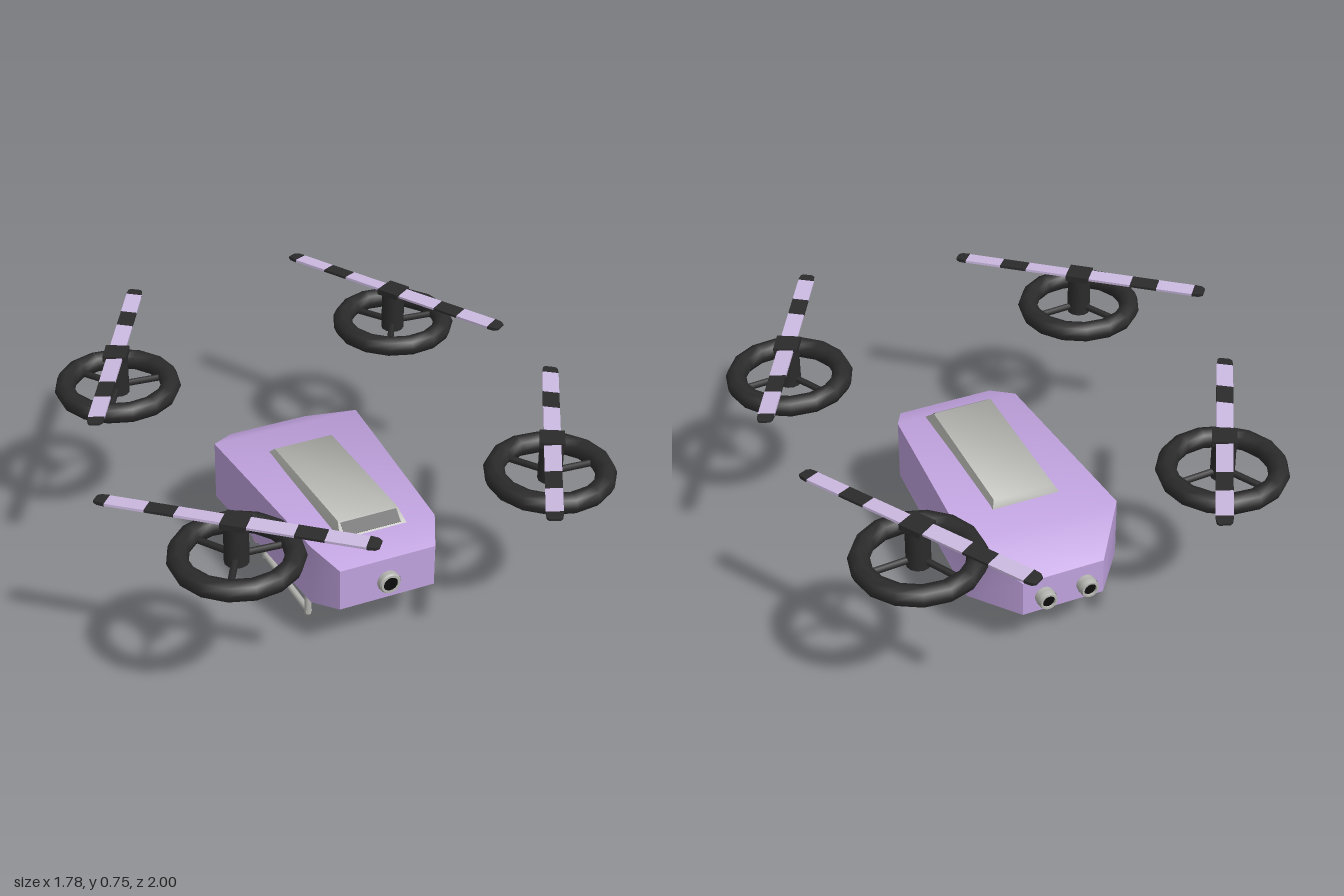
import * as THREE from 'three';
import { toCreasedNormals } from 'three/addons/utils/BufferGeometryUtils.js';

const paint = (color, extra = {}) => new THREE.MeshStandardMaterial({ color, ...extra });
const lilac = paint(0xc0a2de);
const paleLilac = paint(0xcbb9e0);
const pink = paint(0xd2a4d8);
const grey = paint(0xb4b4b0);
const metal = paint(0xb4b4b0, { side: THREE.DoubleSide });
const black = paint(0x2b2b2b);
const glass = paint(0x0c0c0c);
const CX = 0.065; // centre line of the body

function add(parent, name, geometry, material, x = 0, y = 0, z = 0) {
  const mesh = new THREE.Mesh(geometry, material);
  mesh.name = name;
  mesh.position.set(x, y, z);
  parent.add(mesh);
  return mesh;
}

// Closed hull through four-sided sections [z, half width below, half width above, bottom, top], front to back
function hull(sections) {
  const rings = sections.map(([z, wb, wt, y0, y1]) => [[-wb, y0, z], [wb, y0, z], [wt, y1, z], [-wt, y1, z]]);
  const pos = [];
  const quad = (a, b, c, d) => pos.push(...a, ...b, ...c, ...a, ...c, ...d);
  for (let k = 0; k < rings.length - 1; k++) {
    const a = rings[k], b = rings[k + 1];
    for (let i = 0; i < 4; i++) {
      const j = (i + 1) % 4;
      quad(a[i], b[i], b[j], a[j]);
    }
  }
  quad(...rings[0]);
  quad(...[...rings[rings.length - 1]].reverse());
  const g = new THREE.BufferGeometry();
  g.setAttribute('position', new THREE.Float32BufferAttribute(pos, 3));
  return toCreasedNormals(g, 0.85);
}

// Round rod between two points
function rod(parent, name, from, to, radius, material, sides = 10) {
  const a = new THREE.Vector3(...from), b = new THREE.Vector3(...to);
  const dir = b.clone().sub(a);
  const mesh = add(parent, name, new THREE.CylinderGeometry(radius, radius, dir.length(), sides), material);
  mesh.position.copy(a).lerp(b, 0.5);
  mesh.quaternion.setFromUnitVectors(new THREE.Vector3(0, 1, 0), dir.normalize());
}

// Hollow metal barrel with a dark recessed lens, opening towards dir * z
function lens(parent, name, r, depth, x, y, z, dir) {
  const g = new THREE.Group();
  g.name = name;
  const profile = [[r * 0.95, -0.02], [r * 0.95, depth * 0.75], [r * 0.85, depth], [r * 0.65, depth], [r * 0.62, depth * 0.5]]
    .map(([px, py]) => new THREE.Vector2(px, py));
  add(g, name + 'Barrel', toCreasedNormals(new THREE.LatheGeometry(profile, 16), 0.5), metal);
  add(g, name + 'Collar', new THREE.CylinderGeometry(r, r, depth * 0.3, 16, 1, true), metal, 0, depth * 0.5);
  add(g, name + 'Glass', new THREE.CylinderGeometry(r * 0.64, r * 0.64, 0.01, 16), glass, 0, depth * 0.7);
  g.position.set(x, y, z);
  g.rotation.x = dir * Math.PI / 2;
  parent.add(g);
}

// Guard ring, spokes, mast and a banded two-bladed propeller
function rotor(name, x, z, angle) {
  const g = new THREE.Group();
  g.name = name;
  g.position.set(x, 0, z);
  const ring = add(g, 'guardRing', new THREE.TorusGeometry(0.192, 0.037, 8, 15), black, 0, 0.611, 0);
  ring.rotation.x = Math.PI / 2;
  for (let i = 0; i < 3; i++) {
    const a = i * Math.PI * 2 / 3;
    rod(g, 'spoke', [0, 0.615, 0], [Math.cos(a) * 0.175, 0.605, Math.sin(a) * 0.175], 0.012, black, 6);
  }
  add(g, 'mast', new THREE.CylinderGeometry(0.042, 0.042, 0.145, 12), black, 0, 0.66, 0);

  const prop = new THREE.Group();
  prop.name = 'propeller';
  prop.position.y = 0.743;
  prop.rotation.y = angle;
  add(prop, 'propellerHub', new THREE.BoxGeometry(0.085, 0.022, 0.085), black);
  const bands = [[0.03, 0.2, paleLilac], [0.2, 0.3, black], [0.3, 0.435, paleLilac]];
  for (const side of [0, 1]) {
    const blade = new THREE.Group();
    blade.name = 'blade';
    blade.rotation.set(0.08, side * Math.PI, 0, 'YXZ');
    for (const [from, to, mat] of bands) {
      add(blade, 'bladeBand', new THREE.BoxGeometry(to - from, 0.009, 0.058), mat, (from + to) / 2, 0, 0);
    }
    // Tapered tip
    const tip = hull([[0.475, 0.018, 0.018, -0.004, 0.004], [0.462, 0.026, 0.026, -0.006, 0.006], [0.435, 0.029, 0.029, -0.006, 0.006]]);
    add(blade, 'bladeTip', tip, black).rotation.y = Math.PI / 2;
    prop.add(blade);
  }
  g.add(prop);
  return g;
}

export function createModel() {
  const model = new THREE.Group();
  model.name = 'quadcopter';

  // Tapered body
  add(model, 'body', hull([
    [0.51, 0.18, 0.18, 0.215, 0.375],
    [0.395, 0.235, 0.235, 0.185, 0.417],
    [-0.345, 0.285, 0.285, 0.183, 0.412],
    [-0.517, 0.152, 0.152, 0.183, 0.32],
  ]), lilac, CX);

  // Raised canopy with a dark windscreen
  add(model, 'canopy', hull([
    [0.395, 0.13, 0.126, 0.4, 0.417],
    [0.345, 0.13, 0.113, 0.4, 0.459],
    [-0.19, 0.13, 0.113, 0.4, 0.437],
    [-0.212, 0.13, 0.126, 0.4, 0.414],
  ]), grey, CX);
  add(model, 'windscreen', new THREE.BoxGeometry(0.212, 0.05, 0.006), black, CX, 0.437, 0.37).rotation.x = -0.87;

  // Cameras
  lens(model, 'frontCamera', 0.042, 0.027, CX, 0.285, 0.51, 1);
  for (const s of [-1, 1]) lens(model, 'rearCamera', 0.036, 0.043, 0.06 + s * 0.078, 0.245, -0.517, -1);

  // Landing skids
  for (const s of [-1, 1]) {
    const x = CX - 0.004 + s * 0.169, r = 0.012;
    rod(model, 'frontSkidPost', [x, 0.006, 0.232], [x, 0.2, 0.232], r, grey);
    rod(model, 'rearSkidPost', [x, 0.002, -0.147], [x, 0.2, -0.147], r, grey);
    rod(model, 'skidRail', [x, 0.02, 0.24], [x, 0.014, -0.155], r, grey);
  }

  // Cross bar with a centre boss and end knobs
  const y = 0.092, z = -0.168;
  rod(model, 'crossBar', [CX - 0.2, y, z], [CX + 0.2, y, z], 0.014, pink);
  rod(model, 'crossBarBoss', [CX, y, z + 0.03], [CX, y, z - 0.03], 0.046, pink, 8);
  for (const s of [-1, 1]) {
    rod(model, 'bossCone', [CX + s * 0.03, y, z], [CX + s * 0.075, y, z], 0.023, pink, 8);
    rod(model, 'crossBarKnob', [CX + s * 0.186, y, z], [CX + s * 0.206, y, z], 0.028, pink, 10);
  }

  // Four free-standing rotors
  model.add(
    rotor('rearRightRotor', -0.503, -0.565, 1.064),
    rotor('rearLeftRotor', 0.613, -0.578, -1.054),
    rotor('frontRightRotor', -0.518, 0.581, -0.698),
    rotor('frontLeftRotor', 0.639, 0.577, 1.067),
  );
  return model;
}
